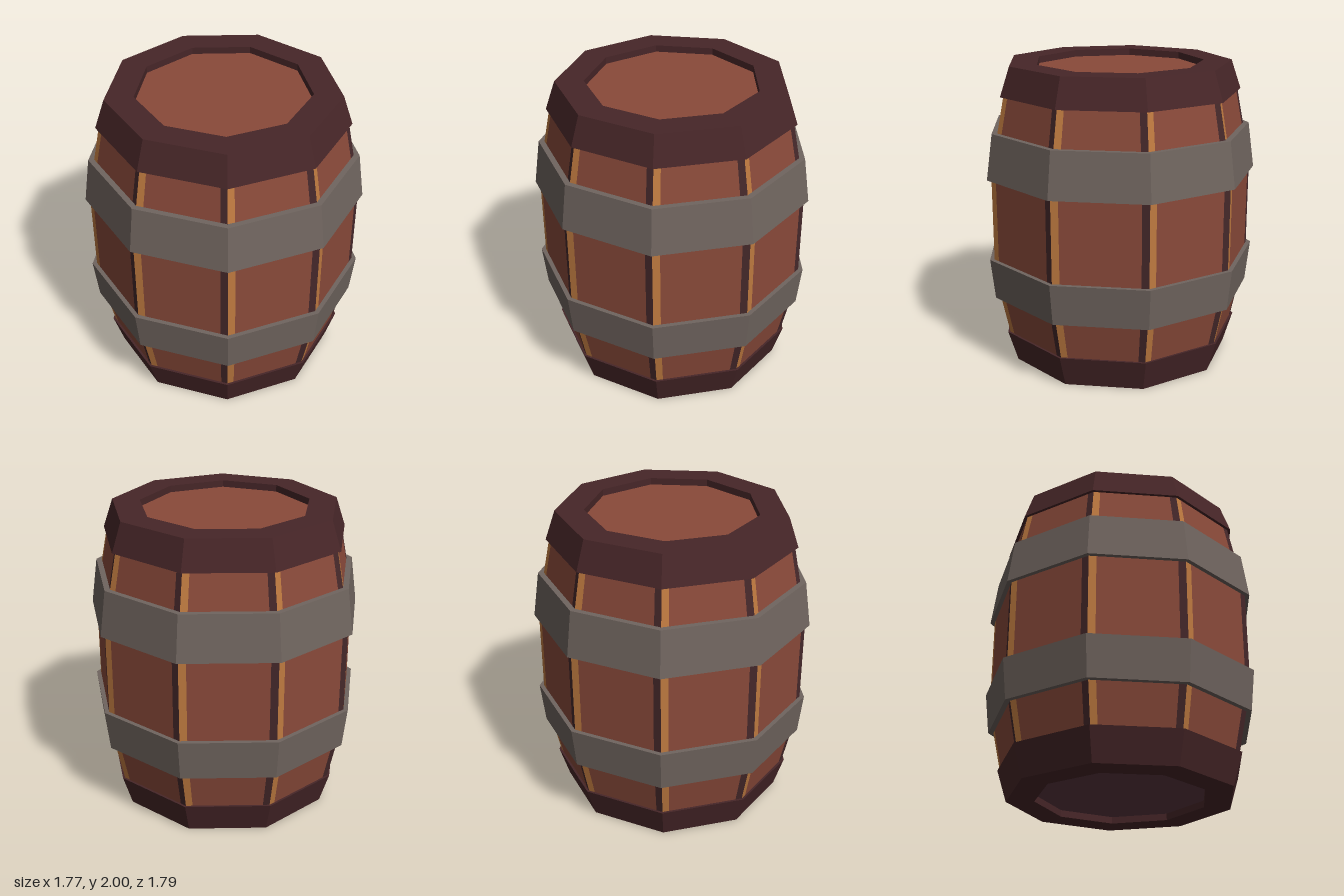
import * as THREE from 'three';

const SIDES = 9;
const START = Math.PI / 2; // puts a corner on +x

const paint = (name, color) => {
  const m = new THREE.MeshStandardMaterial({ color });
  m.name = name;
  return m;
};

// Flat-faced ring turned from a profile of [radius, height] points
function turned(points) {
  const pts = points.map(([r, y]) => new THREE.Vector2(r, y));
  const geo = new THREE.LatheGeometry(pts, SIDES, START).toNonIndexed();
  geo.computeVertexNormals();
  return geo;
}

// One strip of every barrel side, from fraction t0 to t1 along the side
function sideStrips(profile, t0, t1) {
  const pos = [];
  const corner = (i, r, y) => {
    const a = START + (i / SIDES) * Math.PI * 2;
    return new THREE.Vector3(r * Math.sin(a), y, r * Math.cos(a));
  };
  const at = (i, t, [r, y]) => corner(i, r, y).lerp(corner(i + 1, r, y), t);
  for (let i = 0; i < SIDES; i++) {
    for (let j = 0; j < profile.length - 1; j++) {
      const a = at(i, t0, profile[j]), b = at(i, t1, profile[j]);
      const c = at(i, t1, profile[j + 1]), d = at(i, t0, profile[j + 1]);
      for (const v of [a, b, c, a, c, d]) pos.push(v.x, v.y, v.z);
    }
  }
  const geo = new THREE.BufferGeometry();
  geo.setAttribute('position', new THREE.Float32BufferAttribute(pos, 3));
  geo.computeVertexNormals();
  return geo;
}

export function createModel() {
  const wood = paint('red brown wood', 0x8a4a3a);
  const edgeLight = paint('light wood edge', 0xbf7a40);
  const edgeDark = paint('dark wood gap', 0x45282a);
  const rimWood = paint('dark rim wood', 0x472628);
  const metal = paint('grey iron', 0x70655f);
  const baseWood = paint('base wood', 0x5c3842);

  const barrel = new THREE.Group();
  barrel.name = 'barrel';
  const add = (name, geo, mat) => {
    const mesh = new THREE.Mesh(geo, mat);
    mesh.name = name;
    barrel.add(mesh);
    return mesh;
  };

  // Staves with a light and a dark edge meeting at each corner
  const body = [[0.785, 0.19], [0.845, 0.47], [0.88, 0.74], [0.88, 1.28], [0.83, 1.58], [0.78, 1.83]];
  add('staveLightEdges', sideStrips(body, 0, 0.08), edgeLight);
  add('staves', sideStrips(body, 0.08, 0.92), wood);
  add('staveDarkEdges', sideStrips(body, 0.92, 1), edgeDark);

  // Iron hoops
  add('lowerHoop', turned([[0.83, 0.47], [0.88, 0.47], [0.91, 0.74], [0.87, 0.74]]), metal);
  add('upperHoop', turned([[0.87, 1.28], [0.91, 1.28], [0.868, 1.58], [0.82, 1.58]]), metal);

  // Rims with recessed openings
  add('topRim', turned([[0.75, 1.81], [0.805, 1.81], [0.74, 2], [0.557, 2], [0.557, 1.95]]), rimWood);
  add('bottomRim', turned([[0.557, 0.05], [0.557, 0], [0.74, 0], [0.805, 0.21], [0.75, 0.21]]), rimWood);

  // Lid and base
  const disc = () => new THREE.CircleGeometry(0.56, SIDES);
  add('lid', disc().rotateX(-Math.PI / 2), wood).position.y = 1.955;
  add('base', disc().rotateX(Math.PI / 2), baseWood).position.y = 0.045;

  // Centre the odd-sided outline
  barrel.position.x = -0.028;
  const model = new THREE.Group();
  model.name = 'barrelModel';
  model.add(barrel);
  return model;
}
